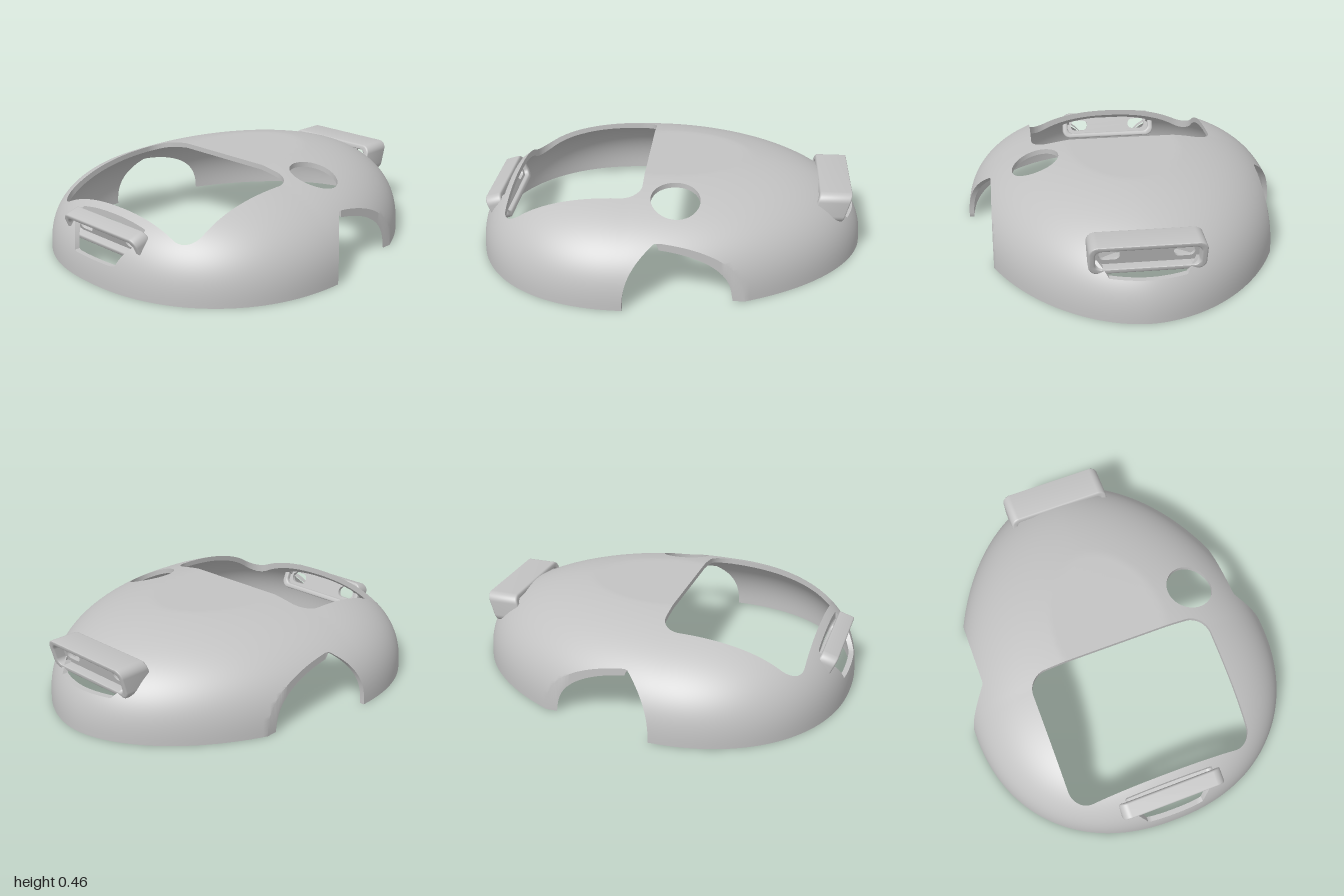
import * as THREE from 'three';
import { toCreasedNormals } from 'three/addons/utils/BufferGeometryUtils.js';

const CX = -0.18, P = 2.5, WALL = 0.025, H0 = 0.47, CAP = 0.46;
const NU = 200, NV = 64;

// Egg-shaped dome; d is the inset (0 = outer skin, WALL = inner skin)
const sizes = (right, d) => ({ a: (right ? 1.18 : 0.82) - d, b: 0.84 - d, q: right ? 1.86 : 2.22 });
const crown = (x, d) => H0 - d + 0.053 * Math.max(0, (x - CX) / 1.18);

function radius(x, z, d) {
  const { a, b, q } = sizes(x > CX, d);
  return Math.pow(Math.pow(Math.abs(x - CX) / a, q) + Math.pow(Math.abs(z) / b, q), 1 / q);
}

function height(x, z, d) {
  const r = radius(x, z, d);
  if (r >= 1) return 0;
  return Math.min(CAP - d, crown(x, d) * Math.pow(1 - Math.pow(r, P), 1 / P));
}

function domePoint([u, v], d) {
  const c = Math.cos(u), s = Math.sin(u);
  const { a, b, q } = sizes(c > 0, d);
  const r = Math.pow(Math.sin(v), 2 / P);
  const x = CX + Math.sign(c) * a * r * Math.pow(Math.abs(c), 2 / q);
  const z = Math.sign(s) * b * r * Math.pow(Math.abs(s), 2 / q);
  const y = Math.min(CAP - d, crown(x, d) * Math.pow(Math.max(0, Math.cos(v)), 2 / P));
  return [x, y, z];
}

// Openings seen in plan: positive where material remains
function keep(x, z, d) {
  const az = Math.abs(z);
  const dx = Math.abs(x + 0.47) - 0.25, dz = Math.abs(z + 0.003) - 0.387;
  const windowCut = 0.1 - Math.hypot(Math.max(dx, 0), Math.max(dz, 0)) - Math.min(Math.max(dx, dz), 0);
  const roundCut = 0.122 - Math.hypot(x - 0.05, z - 0.475);
  const sideCut = Math.min(az - 0.71, ((x + 0.18) * 0.13 + (az + 1.1 * d - 0.84) * 0.15) / 0.198);
  const r = radius(x, z, d);
  const slotSide = 0.235 - az - 1.3 * Math.max(0, r - 0.92);
  const rightSlot = Math.min(x - 0.82, slotSide, 0.961 - r);
  const leftSlot = Math.min(-0.855 - x, slotSide, 0.986 - r);
  return -Math.max(windowCut, roundCut, sideCut, rightSlot, leftSlot);
}

// Point on the inner skin that closes the wall from a cut edge on the outer skin
function innerEdge(p) {
  const [x, y, z] = p;
  const slot = Math.abs(x) > 0.87 && Math.abs(z) < 0.24;
  const arch = Math.abs(z) > 0.712 && x < 0;
  if (!slot && !arch) return [x, Math.min(y, height(x, z, WALL)), z];
  const move = s => (slot ? [x - Math.sign(x) * s, y, z] : [x, y, z - Math.sign(z) * s]);
  let lo = 0, hi = 0.12;
  for (let k = 0; k < 16; k++) {
    const s = (lo + hi) / 2, m = move(s);
    const inside = radius(m[0], m[2], WALL) < 1 && height(m[0], m[2], WALL) >= y;
    if (inside) hi = s; else lo = s;
  }
  return move(hi);
}

// Smooth normals with sharp edges, worked out at a larger scale for precision
function crease(geometry, angle = 0.6) {
  geometry.scale(30, 30, 30);
  const g = toCreasedNormals(geometry, angle);
  return g.scale(1 / 30, 1 / 30, 1 / 30);
}

function shellGeometry() {
  const out = [];
  const tri = (a, b, c) => out.push(...a, ...b, ...c);
  const quad = (a, b, c, d) => { tri(a, b, c); tri(a, c, d); };
  const field = (uv, d) => { const p = domePoint(uv, d); return keep(p[0], p[2], d); };

  // Find the point on an edge where an opening begins
  function crossing(inside, outside, d) {
    let a = inside, b = outside;
    for (let k = 0; k < 14; k++) {
      const m = [(a[0] + b[0]) / 2, (a[1] + b[1]) / 2];
      if (field(m, d) > 0) a = m; else b = m;
    }
    return domePoint(a, d);
  }

  function clipTriangle(t, d) {
    const f = t.map(uv => field(uv, d));
    if (f.every(v => v <= 0)) return;
    const poly = [];
    let exit, enter;
    for (let i = 0; i < 3; i++) {
      const j = (i + 1) % 3;
      if (f[i] > 0) poly.push(domePoint(t[i], d));
      if (f[i] > 0 && f[j] <= 0) poly.push(exit = crossing(t[i], t[j], d));
      if (f[i] <= 0 && f[j] > 0) poly.push(enter = crossing(t[j], t[i], d));
    }
    for (let i = 1; i + 1 < poly.length; i++) {
      if (d === 0) tri(poly[0], poly[i], poly[i + 1]);
      else tri(poly[0], poly[i + 1], poly[i]);
    }
    // Wall through the thickness of the shell
    if (exit && d === 0) quad(enter, exit, innerEdge(exit), innerEdge(enter));
  }

  for (const d of [0, WALL]) {
    for (let i = 0; i < NU; i++) {
      for (let j = 0; j < NV; j++) {
        const g = (a, b) => [(i + a) / NU * Math.PI * 2, (j + b) / NV * Math.PI / 2];
        clipTriangle([g(0, 0), g(1, 0), g(1, 1)], d);
        clipTriangle([g(0, 0), g(1, 1), g(0, 1)], d);
      }
    }
  }

  // Bottom rim
  const n = NU * 4;
  for (let i = 0; i < n; i++) {
    const u = i / n * Math.PI * 2, w = (i + 1) / n * Math.PI * 2, v = Math.PI / 2;
    if (field([(u + w) / 2, v], 0) <= 0) continue;
    quad(domePoint([u, v], 0), domePoint([w, v], 0), domePoint([w, v], WALL), domePoint([u, v], WALL));
  }
  const geometry = new THREE.BufferGeometry();
  geometry.setAttribute('position', new THREE.Float32BufferAttribute(out, 3));
  return crease(geometry);
}

function roundedRect(path, w, h, r, cx = 0) {
  const x = w / 2, y = h / 2;
  path.moveTo(cx - x + r, -y);
  path.lineTo(cx + x - r, -y).absarc(cx + x - r, -y + r, r, -Math.PI / 2, 0);
  path.lineTo(cx + x, y - r).absarc(cx + x - r, y - r, r, 0, Math.PI / 2);
  path.lineTo(cx - x + r, y).absarc(cx - x + r, y - r, r, Math.PI / 2, Math.PI);
  path.lineTo(cx - x, -y + r).absarc(cx - x + r, -y + r, r, Math.PI, Math.PI * 1.5);
  return path;
}

// Strap holder: a slanted frame with a recessed plate pierced at both ends
function strapHolder(name, material, { face, up, outward, depth, recess, tall }) {
  const group = new THREE.Group();
  group.name = name;
  const Z = new THREE.Vector3(...outward).normalize();
  const Y = new THREE.Vector3(...up).normalize();
  const X = new THREE.Vector3(0, 0, -Math.sign(Z.x));
  const origin = new THREE.Vector3(...face).addScaledVector(Z, -depth);
  const place = new THREE.Matrix4().makeBasis(X, Y, Z).setPosition(origin);
  const add = (part, shape, from, thick, bevel) => {
    const g = new THREE.ExtrudeGeometry(shape, {
      depth: thick - bevel, curveSegments: 8, bevelEnabled: bevel > 0,
      bevelSize: bevel, bevelThickness: bevel, bevelOffset: -bevel, bevelSegments: 3,
    });
    g.translate(0, 0, from).applyMatrix4(place);
    const mesh = new THREE.Mesh(crease(g), material);
    mesh.name = part;
    group.add(mesh);
  };
  const frame = roundedRect(new THREE.Shape(), 0.55, tall, 0.045);
  frame.holes.push(roundedRect(new THREE.Path(), 0.49, tall - 0.055, 0.03));
  add('frame', frame, 0, depth, 0.008);

  const plate = roundedRect(new THREE.Shape(), 0.51, tall - 0.03, 0.03);
  for (const s of [-1, 1]) {
    plate.holes.push(roundedRect(new THREE.Path(), 0.1, 0.06, 0.028, s * 0.175));
  }
  add('recessedPlate', plate, depth - recess, 0.02, 0);
  return group;
}

export function createModel() {
  const model = new THREE.Group();
  model.name = 'shellCase';
  const grey = new THREE.MeshStandardMaterial({ color: 0xc2c2c2 });
  grey.name = 'lightGrey';

  const shell = new THREE.Mesh(shellGeometry(), grey);
  shell.name = 'domeShell';
  model.add(shell);

  model.add(strapHolder('leftStrapHolder', grey, {
    face: [0.906, 0.289, 0], up: [0.27, 0.96, 0], outward: [1, 0, 0], depth: 0.155, recess: 0.075, tall: 0.167,
  }));
  model.add(strapHolder('rightStrapHolder', grey, {
    face: [-0.93, 0.213, 0], up: [-0.4, 0.92, 0], outward: [-0.95, -0.3, 0], depth: 0.075, recess: 0.06, tall: 0.145,
  }));
  return model;
}
